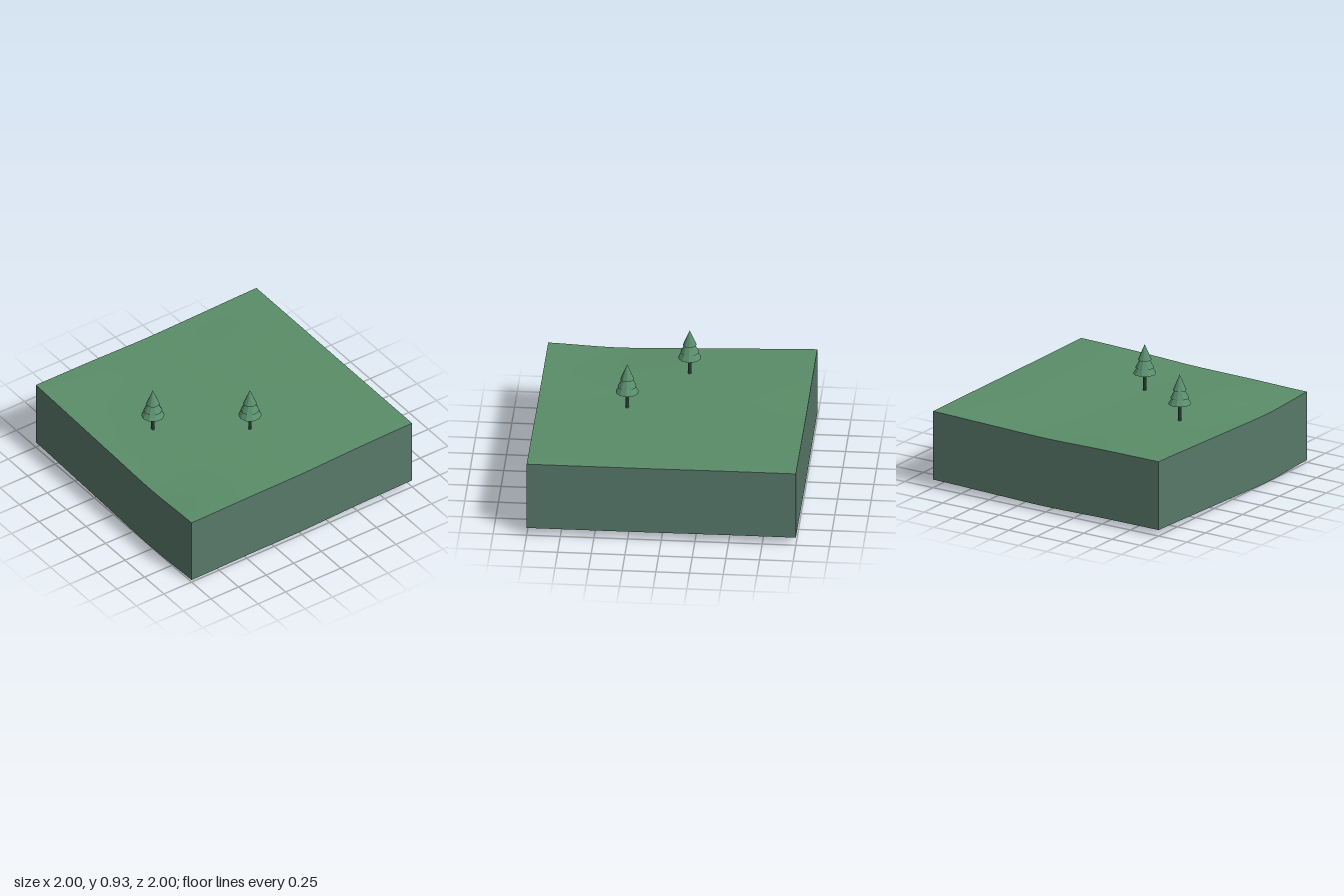
import * as THREE from 'three';

// Ground heights on a coarse grid: rows z = -1..1, columns x = -1..1
const HEIGHTS = [
  [0.600, 0.600, 0.598, 0.597, 0.597],
  [0.588, 0.590, 0.588, 0.587, 0.586],
  [0.577, 0.575, 0.572, 0.569, 0.568],
  [0.583, 0.572, 0.565, 0.561, 0.563],
  [0.583, 0.567, 0.550, 0.536, 0.555],
];
const SKIRT = 0.535;
const SEGMENTS = 28;

// Smooth interpolation through five evenly spaced values, t in -1..1
function smooth(values, t) {
  const u = Math.min(Math.max((t + 1) * 2, 0), 4);
  const i = Math.min(Math.floor(u), 3), f = u - i;
  const at = k => values[Math.min(Math.max(k, 0), 4)];
  const a = at(i - 1), b = at(i), c = at(i + 1), d = at(i + 2);
  return b + 0.5 * f * (c - a + f * (2 * a - 5 * b + 4 * c - d + f * (3 * (b - c) + d - a)));
}
const groundHeight = (x, z) => smooth(HEIGHTS.map(row => smooth(row, x)), z);

export function createModel() {
  const model = new THREE.Group();
  model.name = 'terrainTile';

  const material = (name, color, side = THREE.FrontSide, flatShading = false) =>
    Object.assign(new THREE.MeshStandardMaterial({ color, side, flatShading }), { name });
  const grass = material('grass green', 0x5a8d68, THREE.DoubleSide);
  const earth = material('grey green', 0x58796a, THREE.DoubleSide);
  const needles = material('needle green', 0x5a8f6e, THREE.FrontSide, true);
  const bark = material('bark green', 0x4a6b58, THREE.FrontSide, true);

  const add = (parent, name, geometry, mat) => {
    const mesh = new THREE.Mesh(geometry, mat);
    mesh.name = name;
    parent.add(mesh);
    return mesh;
  };

  // Rolling ground surface
  const ground = new THREE.PlaneGeometry(2, 2, SEGMENTS, SEGMENTS).rotateX(-Math.PI / 2);
  const gp = ground.attributes.position;
  for (let i = 0; i < gp.count; i++) gp.setY(i, groundHeight(gp.getX(i), gp.getZ(i)));
  ground.computeVertexNormals();
  add(model, 'ground', ground, grass);

  // Four skirts that follow the ground edge; the underside stays open
  ['frontWall', 'leftWall', 'backWall', 'rightWall'].forEach((name, side) => {
    const wall = new THREE.PlaneGeometry(2, 1, SEGMENTS, 1);
    wall.translate(0, -0.5, 1).rotateY(side * Math.PI / 2);
    const p = wall.attributes.position;
    for (let i = 0; i < p.count; i++) {
      p.setY(i, groundHeight(p.getX(i), p.getZ(i)) + p.getY(i) * SKIRT);
    }
    add(model, name, wall, earth);
  });

  // Conifers: a trunk and three stacked ten-sided cones
  const tiers = [
    { base: 0.133, radius: 0.087, height: 0.14 },
    { base: 0.180, radius: 0.070, height: 0.13 },
    { base: 0.240, radius: 0.051, height: 0.12 },
  ];
  [[-0.085, 0.585], [0.333, 0]].forEach(([x, z], n) => {
    const tree = new THREE.Group();
    tree.name = `tree${n + 1}`;
    tree.position.set(x, groundHeight(x, z), z);
    add(tree, 'trunk', new THREE.CylinderGeometry(0.012, 0.012, 0.16, 10), bark).position.y = 0.07;
    tiers.forEach(({ base, radius, height }, i) => {
      add(tree, `foliageTier${i + 1}`, new THREE.ConeGeometry(radius, height, 10), needles)
        .position.y = base + height / 2;
    });
    model.add(tree);
  });

  return model;
}
